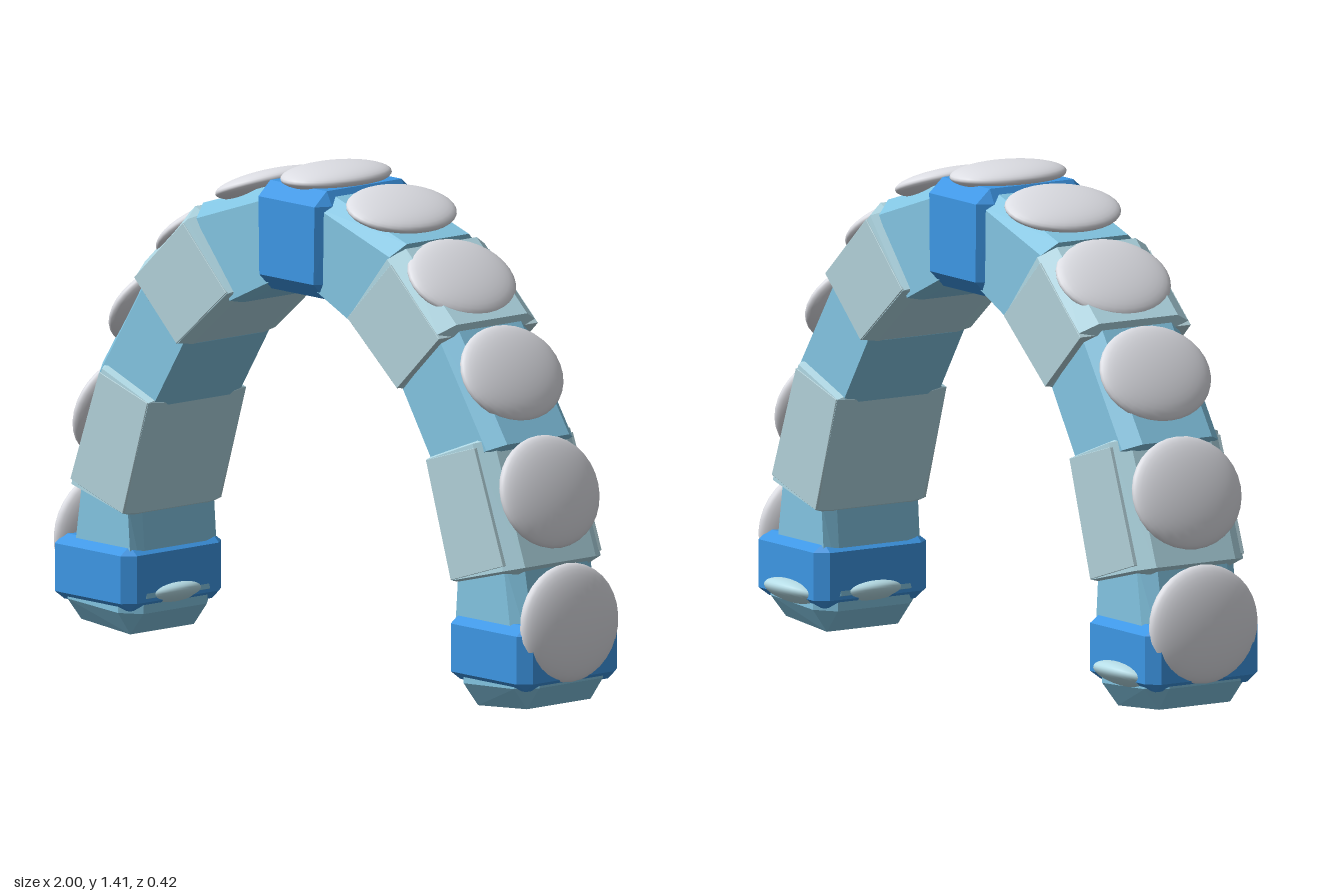
import * as THREE from 'three';
import { ConvexGeometry } from 'three/addons/geometries/ConvexGeometry.js';

const ZC = 0.022; // middle of the arch in depth

const mat = (name, color, flatShading) => {
  const m = new THREE.MeshStandardMaterial({ color, flatShading });
  m.name = name;
  return m;
};

// Bevelled wedge. quad: outer start, outer end, inner end, inner start (x, y).
// bevels: along the arch, outer radial, inner radial, depth.
function wedge(quad, halfDepth, [ca, co, ci, cz], side) {
  const [A, B, C, D] = quad.map(([x, y]) => new THREE.Vector2(x * side, y));
  const arc = A.distanceTo(B) * 0.5 + C.distanceTo(D) * 0.5;
  const radial = A.distanceTo(D) * 0.5 + B.distanceTo(C) * 0.5;
  const points = [];
  const add = (u, v, z) => {
    const outer = A.clone().lerp(B, u);
    const p = D.clone().lerp(C, u).lerp(outer, v);
    points.push(new THREE.Vector3(p.x, p.y, ZC + z));
  };
  for (const u of [0, 1]) for (const v of [0, 1]) for (const z of [-1, 1]) {
    const ui = u + (u ? -1 : 1) * ca / arc;
    const vi = v ? 1 - co / radial : ci / radial;
    const zi = z * (halfDepth - cz);
    add(u, vi, zi);
    add(ui, v, zi);
    add(ui, vi, z * halfDepth);
  }
  return new ConvexGeometry(points);
}

export function createModel() {
  const model = new THREE.Group();
  model.name = 'arch';
  const blue = mat('strong blue', 0x3d96e4, true);
  const sky = mat('sky blue', 0x82c4e1, true);
  const pale = mat('pale blue', 0xb0d8e4, true);
  const panel = mat('grey teal', 0xb1d0d8, true);
  const stone = mat('light grey', 0xdcdde3, false);
  const ice = mat('ice blue', 0xb8dfe9, false);
  const ball = new THREE.SphereGeometry(1, 32, 20);

  const add = (name, geometry, material) => {
    const mesh = new THREE.Mesh(geometry, material);
    mesh.name = name;
    model.add(mesh);
    return mesh;
  };

  // Flattened pebble lying on the outer face
  const pebble = (x, y, tilt, half, thick, side) => {
    const mesh = add('pebble', ball, stone);
    mesh.position.set(x * side, y, ZC);
    mesh.scale.set(half, thick, 0.178);
    mesh.rotation.z = tilt * side;
  };

  // Keystone
  add('keystone', wedge([[-0.138, 1.358], [0.138, 1.358], [0.132, 1.055], [-0.132, 1.055]],
    0.184, [0.022, 0.04, 0.045, 0.045], 1), blue);
  pebble(0, 1.37, 0, 0.118, 0.036, 1);

  const skyBlocks = [
    [[0.08, 1.355], [0.43, 1.245], [0.26, 0.99], [0.08, 1.075]],
    [[0.61, 1.065], [0.835, 0.735], [0.59, 0.62], [0.435, 0.86]],
    [[0.89, 0.46], [0.958, 0.1], [0.645, 0.1], [0.67, 0.38]],
  ];
  // Each pale block with the quad of its face panels
  const paleBlocks = [
    [[[0.42, 1.25], [0.65, 1.045], [0.453, 0.843], [0.23, 1.027]],
      [[0.425, 1.2], [0.625, 1.02], [0.452, 0.858], [0.248, 1.028]]],
    [[[0.785, 0.772], [0.925, 0.4], [0.668, 0.335], [0.555, 0.685]],
      [[0.768, 0.735], [0.886, 0.42], [0.672, 0.352], [0.57, 0.675]]],
  ];
  const pebbles = [ // x, y, tilt, half length, half thickness
    [0.268, 1.312, -0.36, 0.122, 0.036],
    [0.515, 1.152, -0.72, 0.138, 0.038],
    [0.72, 0.915, -1.04, 0.142, 0.04],
    [0.874, 0.605, -1.27, 0.158, 0.042],
    [0.955, 0.25, -1.5, 0.165, 0.045],
  ];

  for (const side of [1, -1]) {
    for (const quad of skyBlocks) {
      add('innerBlock', wedge(quad, 0.16, [0.01, 0.04, 0.01, 0.045], side), sky);
    }
    for (const [quad, face] of paleBlocks) {
      add('outerBlock', wedge(quad, 0.181, [0.015, 0.035, 0.01, 0.05], side), pale);
      add('facePanels', wedge(face, 0.184, [0.001, 0.001, 0.001, 0.001], side), panel);
    }
    for (const p of pebbles) pebble(...p, side);

    // Foot and the band around it
    add('foot', wedge([[0.97, 0.25], [0.96, 0.02], [0.665, -0.004], [0.643, 0.25]],
      0.168, [0.065, 0.05, 0.05, 0.05], side), sky);
    add('footBand', wedge([[0.975, 0.257], [0.975, 0.073], [0.647, 0.073], [0.647, 0.257]],
      0.187, [0.025, 0.03, 0.03, 0.035], side), blue);

    // Four small pebbles tucked under the band
    const small = [[0.805, -0.148, 0], [0.805, 0.098, Math.PI],
      [0.903, 0, -Math.PI / 2], [0.705, 0, Math.PI / 2]];
    for (const [x, z, yaw] of small) {
      const mesh = add('footPebble', ball, ice);
      mesh.position.set(x * side, 0.102, ZC + z);
      mesh.scale.set(0.12, 0.034, 0.086);
      mesh.rotation.set(0.3, yaw * side, 0, 'YXZ');
    }
  }
  return model;
}
